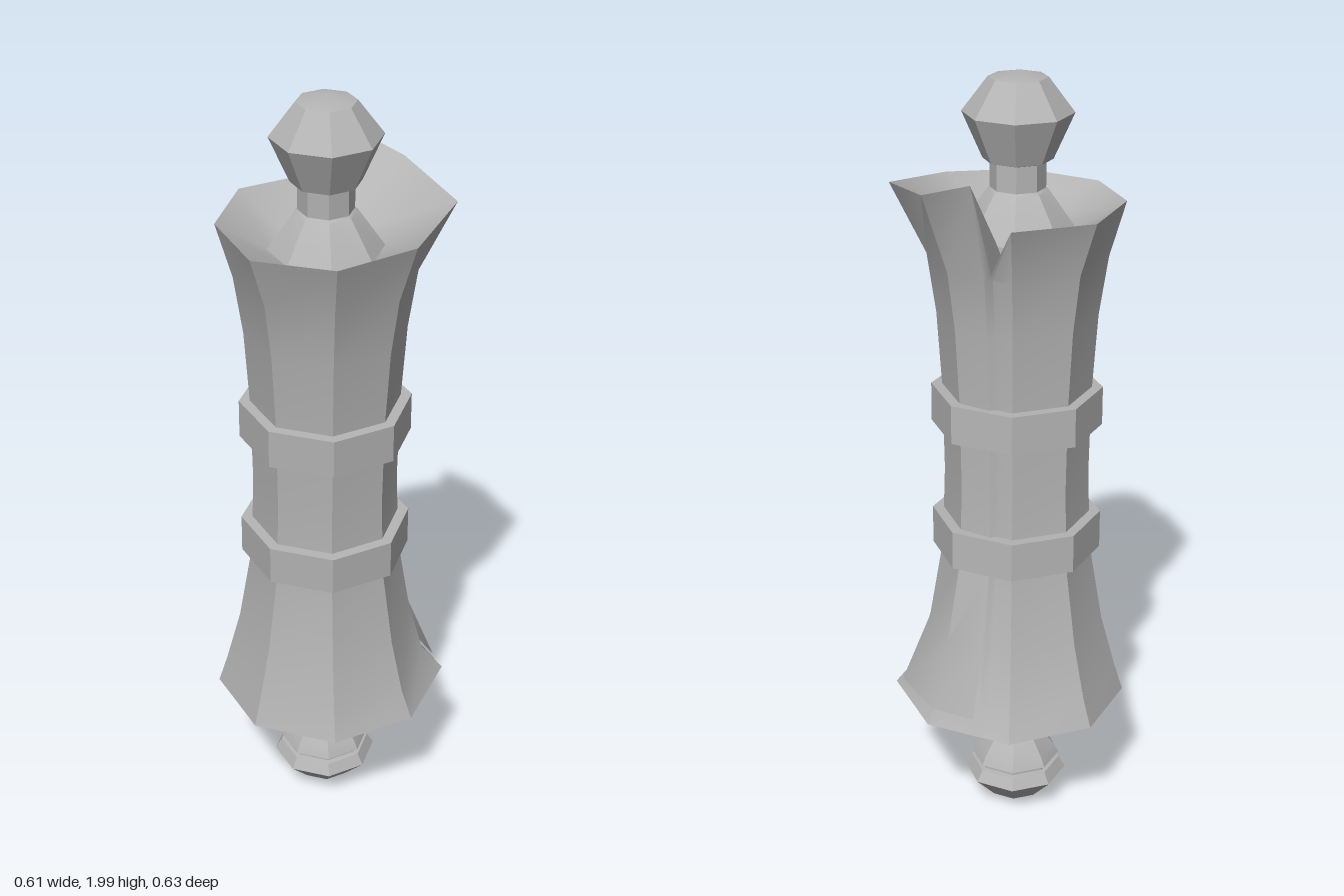
import * as THREE from 'three';
import { toCreasedNormals } from 'three/addons/utils/BufferGeometryUtils.js';

const grey = new THREE.MeshStandardMaterial({ color: 0xb4b4b4 });
grey.name = 'grey';
const greySheet = grey.clone();
greySheet.side = THREE.DoubleSide;

const crease = (g) => toCreasedNormals(g, 0.6);

// Eight-sided turned part, profile given as [radius, height] from bottom to top
function turned(name, profile) {
  const g = new THREE.LatheGeometry(profile.map(([r, y]) => new THREE.Vector2(r, y)), 8);
  const mesh = new THREE.Mesh(crease(g), grey);
  mesh.name = name;
  return mesh;
}

// Sheet of paper: columns of [angle in degrees, radius, height] points, each running upwards
function sheet(name, columns) {
  const pos = [], index = [], n = columns[0].length;
  for (const col of columns) {
    for (const [deg, r, y] of col) {
      const a = THREE.MathUtils.degToRad(deg);
      pos.push(Math.sin(a) * r, y, Math.cos(a) * r);
    }
  }
  for (let c = 0; c < columns.length - 1; c++) {
    for (let i = 0; i < n - 1; i++) {
      const a = c * n + i, b = a + n;
      index.push(a, b, b + 1, a, b + 1, a + 1);
    }
  }
  const g = new THREE.BufferGeometry();
  g.setAttribute('position', new THREE.Float32BufferAttribute(pos, 3));
  g.setIndex(index);
  const mesh = new THREE.Mesh(crease(g), greySheet);
  mesh.name = name;
  return mesh;
}

export function createModel() {
  const model = new THREE.Group();
  model.name = 'scroll';

  // Leaning axis of the whole scroll
  const lean = new THREE.Group();
  lean.name = 'leaningScroll';
  lean.rotation.x = 0.047;
  lean.position.set(-0.018, 0, -0.034);
  model.add(lean);

  // Rolled paper: [angle, bottom radius, top radius, top height, waist factor, waist offset]
  const sides = [
    [0, 0.29, 0.27, 1.69, 1, 0],
    [45, 0.295, 0.27, 1.7, 1, 0],
    [90, 0.32, 0.31, 1.725, 1, 0],
    [135, 0.304, 0.298, 1.755, 1, 0],
    [162, 0.28, 0.298, 1.8, 0.935, 0.008], // raised edge of the outer turn
    [167, 0.28, 0.22, 1.57, 0.93, 0],      // notch beside the seam
    [180, 0.3, 0.275, 1.69, 1, 0],
    [225, 0.29, 0.275, 1.69, 1, 0],
    [270, 0.285, 0.262, 1.69, 1, 0],
    [315, 0.285, 0.27, 1.685, 1, 0],
    [360, 0.29, 0.27, 1.69, 1, 0],
  ];
  const waist = [[0.262, 0.42], [0.225, 0.56], [0.19, 0.77], [0.183, 0.98],
    [0.187, 1.2], [0.2, 1.4], [0.222, 1.55]];
  lean.add(sheet('rolledPaper', sides.map(([a, rb, rt, yt, k, d]) => [
    [a, 0.06, 0.44],                                // underside hollow
    [a, rb, 0.345],                                 // lower rim
    ...waist.map(([r, y]) => [a, r * k + d, y]),
    [a, rt, yt],                                    // upper rim
    [a, 0.14, Math.min(1.62, yt + 0.02)],           // upper hollow
  ])));

  // Loose corner of the outer turn, low on the back
  lean.add(sheet('looseFlap', [
    [[95, 0.3, 0.37], [95, 0.222, 0.57], [95, 0.19, 0.77]],
    [[135, 0.292, 0.39], [135, 0.232, 0.57], [135, 0.192, 0.77]],
    [[162, 0.298, 0.405], [162, 0.238, 0.57], [162, 0.19, 0.77]],
  ]));

  // Two binding bands
  for (const [name, y] of [['lowerBand', 0.818], ['upperBand', 1.16]]) {
    lean.add(turned(name, [[0.18, y - 0.05], [0.215, y - 0.05], [0.215, y + 0.05], [0.18, y + 0.05]]));
  }

  // Lower handle: knob, collar and shaft
  lean.add(turned('lowerHandle', [
    [0, 0.004], [0.075, 0.032], [0.135, 0.095], [0.118, 0.125], [0.105, 0.127],
    [0.105, 0.135], [0.117, 0.14], [0.105, 0.165], [0.07, 0.21], [0.062, 0.21], [0.065, 0.46],
  ]));

  // Upper handle: flared collar, neck and knob
  lean.add(turned('upperHandle', [
    [0.148, 1.61], [0.075, 1.715], [0.068, 1.72], [0.068, 1.785],
    [0.085, 1.79], [0.135, 1.902], [0.072, 1.985], [0, 2.0],
  ]));

  return model;
}
